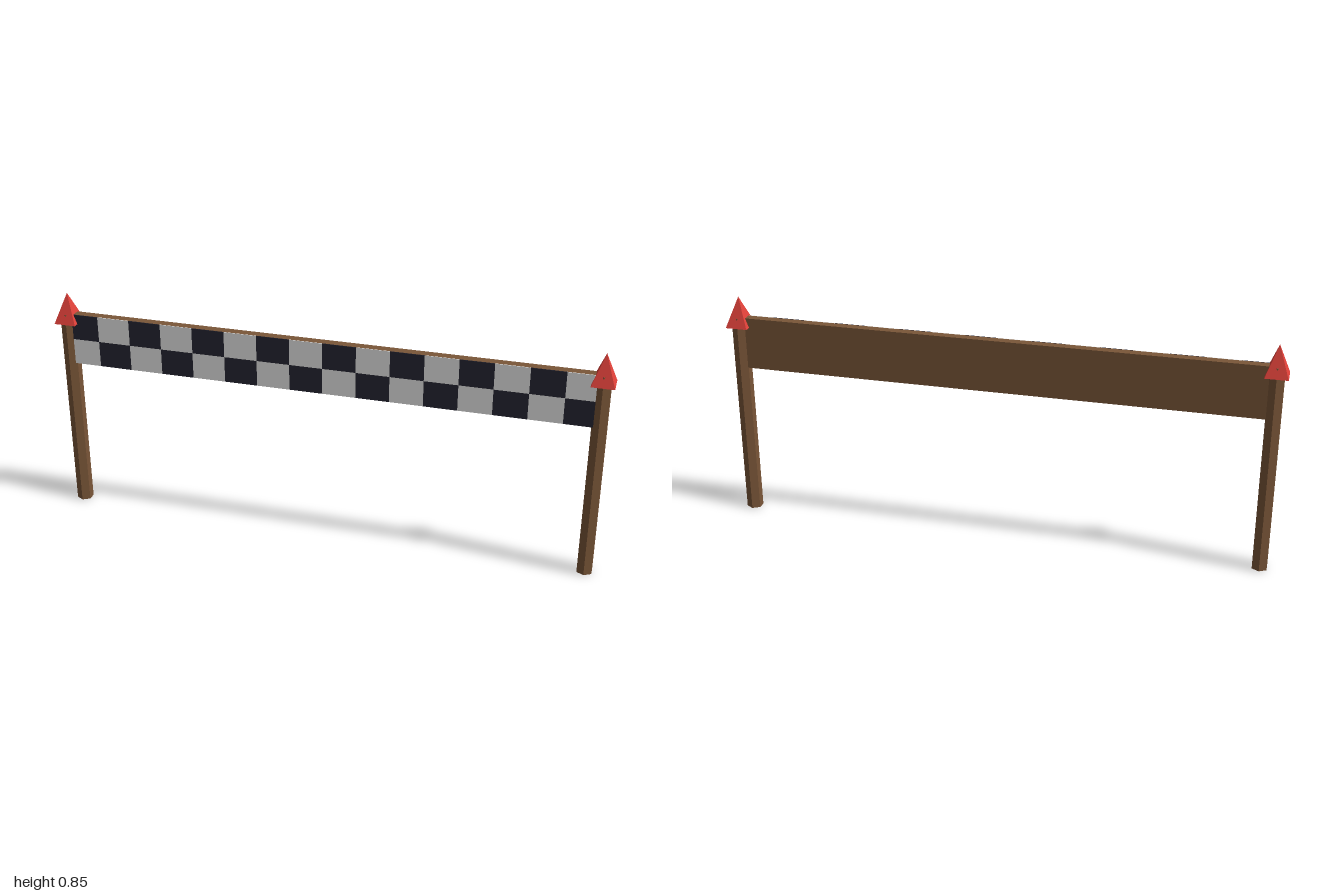
import * as THREE from 'three';

const material = (name, color) => {
  const m = new THREE.MeshStandardMaterial({ color, flatShading: true });
  m.name = name;
  return m;
};

export function createModel() {
  const wood = material('brown wood', 0x7a5638);
  const red = material('red', 0xe0413a);
  const white = material('white', 0xeeeeee);
  const black = material('black', 0x252532);

  const group = new THREE.Group();
  group.name = 'finishGate';
  const add = (name, geometry, mat, x, y, z) => {
    const mesh = new THREE.Mesh(geometry, mat);
    mesh.name = name;
    mesh.position.set(x, y, z);
    group.add(mesh);
    return mesh;
  };

  // Hexagonal posts with pyramid caps
  const postX = 0.96, postHeight = 0.77;
  const postGeometry = new THREE.CylinderGeometry(0.03, 0.03, postHeight, 6);
  const capGeometry = new THREE.ConeGeometry(0.04 * Math.SQRT2, 0.11, 4);
  capGeometry.rotateY(Math.PI / 4);
  for (const [side, sign] of [['left', 1], ['right', -1]]) {
    add(`${side}Post`, postGeometry, wood, sign * postX, postHeight / 2, 0);
    add(`${side}Cap`, capGeometry, red, sign * postX, 0.79, 0);
  }

  // Board spanning the posts
  const bottom = 0.578, height = 0.192, depth = 0.032;
  add('board', new THREE.BoxGeometry(2 * postX, height, depth), wood, 0, bottom + height / 2, 0);

  // Checkered front made of thin plates
  const columns = 16, rows = 2, plate = 0.003;
  const w = (2 * postX) / columns, h = height / rows;
  const checkGeometry = new THREE.BoxGeometry(w, h, plate);
  for (let r = 0; r < rows; r++) {
    for (let c = 0; c < columns; c++) {
      const mat = (r + c) % 2 ? black : white;
      add('check', checkGeometry, mat, -postX + (c + 0.5) * w, bottom + (r + 0.5) * h, depth / 2 + plate / 2 - 0.0005);
    }
  }
  return group;
}
